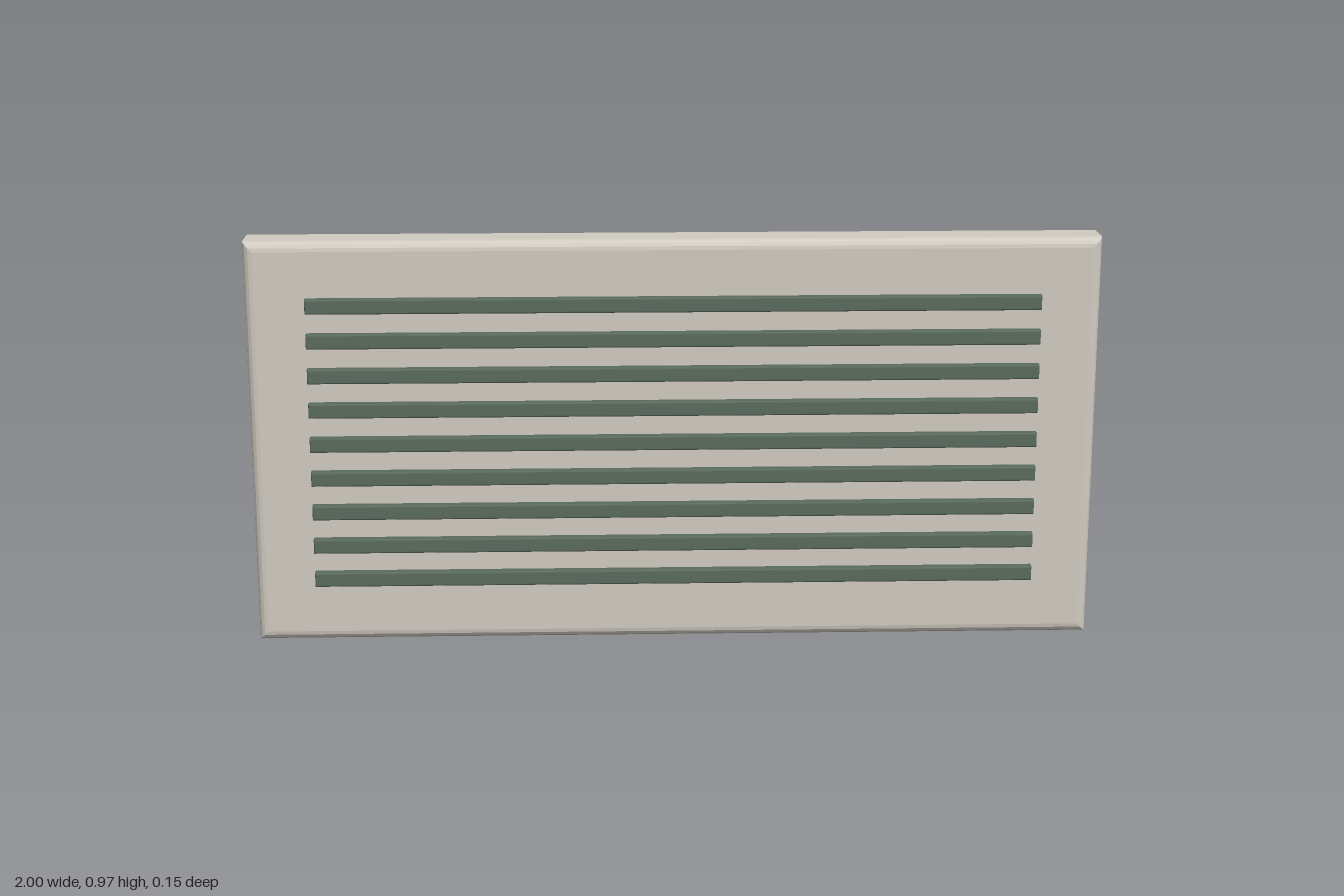
import * as THREE from 'three';

// Rectangular slab with square outline and rounded front and back edges
function slab(name, width, height, zBack, zFront, bevel, segments, material) {
  const w = width / 2 - bevel, h = height / 2 - bevel;
  const shape = new THREE.Shape([
    new THREE.Vector2(-w, -h), new THREE.Vector2(w, -h),
    new THREE.Vector2(w, h), new THREE.Vector2(-w, h),
  ]);
  const geometry = new THREE.ExtrudeGeometry(shape, {
    depth: zFront - zBack - 2 * bevel,
    bevelSize: bevel, bevelThickness: bevel, bevelSegments: segments,
  });
  geometry.translate(0, 0, zBack + bevel);
  const mesh = new THREE.Mesh(geometry, material);
  mesh.name = name;
  return mesh;
}

export function createModel() {
  const group = new THREE.Group();
  group.name = 'ventPanel';
  const panelMaterial = new THREE.MeshStandardMaterial({ color: 0xd2ccc2 });
  const slatMaterial = new THREE.MeshStandardMaterial({ color: 0x5b6b5e });

  // Main panel
  const height = 0.972;
  const panel = slab('panel', 2, height, -0.074, 0.053, 0.023, 4, panelMaterial);
  panel.position.y = height / 2;
  group.add(panel);

  // Nine horizontal slats, partly sunk into the front
  const slats = new THREE.Group();
  slats.name = 'slats';
  for (let i = 0; i < 9; i++) {
    const slat = slab('slat', 1.716, 0.035, 0.035, 0.075, 0.004, 3, slatMaterial);
    slat.position.y = 0.159 + i * 0.083;
    slats.add(slat);
  }
  group.add(slats);
  return group;
}
